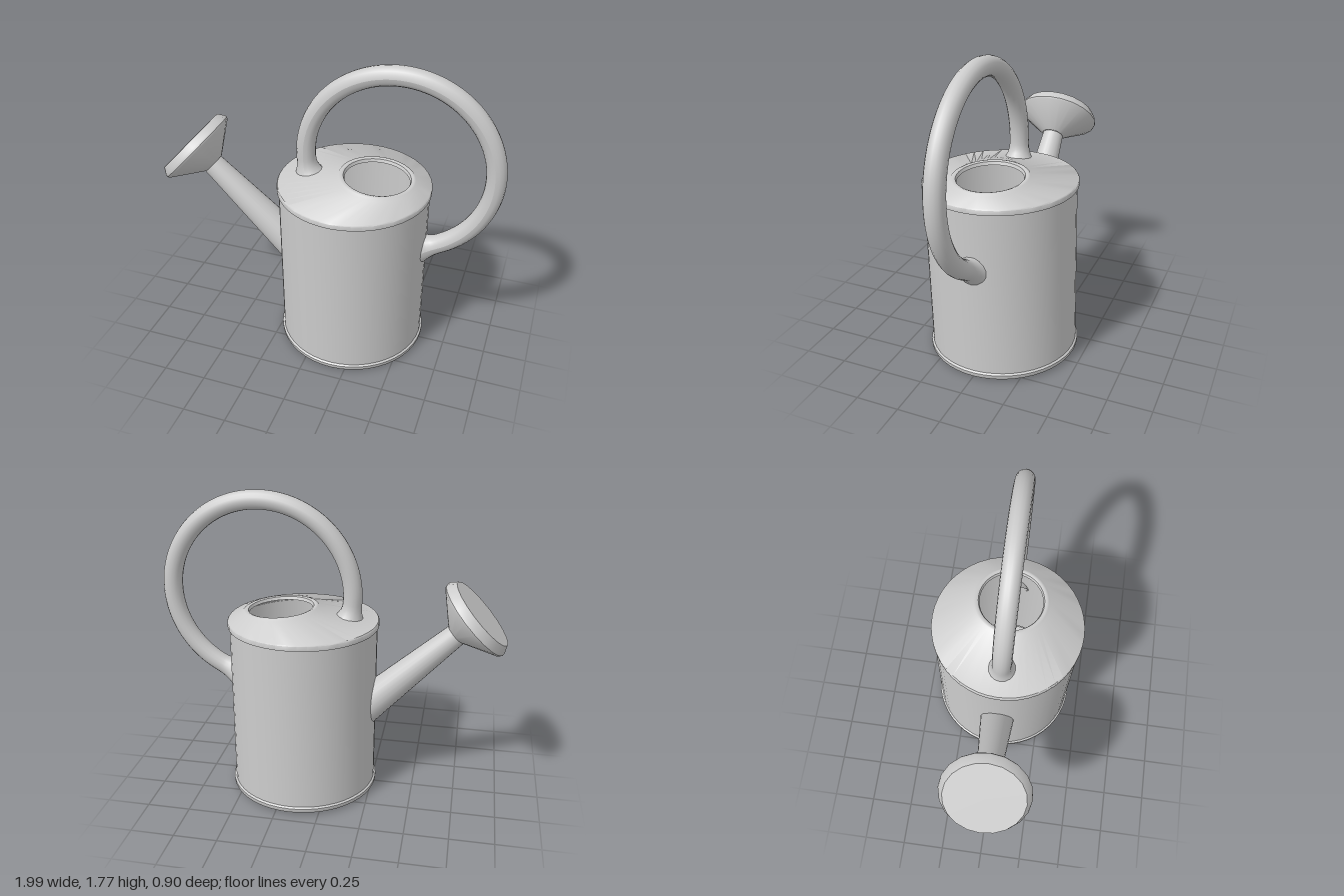
import * as THREE from 'three';
import { toCreasedNormals } from 'three/addons/utils/BufferGeometryUtils.js';

const grey = new THREE.MeshStandardMaterial({ color: 0xcccccc, side: THREE.DoubleSide });
const CX = 0.165; // axis of the can

function add(parent, name, geometry) {
  const mesh = new THREE.Mesh(geometry, grey);
  mesh.name = name;
  parent.add(mesh);
  return mesh;
}

function lathe(profile, segments, crease = 0.5) {
  const points = profile.map(([r, y]) => new THREE.Vector2(r, y));
  return toCreasedNormals(new THREE.LatheGeometry(points, segments), crease);
}

// Skin over circles [centre x, height, radius, slope along x], from bottom to top
function loft(rings, segments) {
  const positions = [], index = [];
  for (const [cx, y, r, slope] of rings) {
    for (let j = 0; j < segments; j++) {
      const a = (j / segments) * Math.PI * 2;
      const dx = r * Math.cos(a);
      positions.push(cx + dx, y - slope * dx, r * Math.sin(a));
    }
  }
  for (let i = 0; i < rings.length - 1; i++) {
    for (let j = 0; j < segments; j++) {
      const k = (j + 1) % segments;
      const a = i * segments + j, b = i * segments + k;
      const c = a + segments, d = b + segments;
      index.push(a, c, b, b, c, d);
    }
  }
  const geometry = new THREE.BufferGeometry();
  geometry.setAttribute('position', new THREE.Float32BufferAttribute(positions, 3));
  geometry.setIndex(index);
  return toCreasedNormals(geometry, 0.7);
}

// Point a mesh's y axis from one point towards another
function aim(mesh, from, to) {
  const direction = to.clone().sub(from).normalize();
  mesh.quaternion.setFromUnitVectors(new THREE.Vector3(0, 1, 0), direction);
}

// Round tube along an arc, flared where it joins the can
function handleGeometry() {
  const R = 0.53, start = Math.PI + 0.267, end = -1.264;
  const steps = 96, sides = 16, radius = 0.055;
  const curve = new THREE.Curve();
  curve.getPoint = (t, target = new THREE.Vector3()) => {
    const a = start + (end - start) * t;
    return target.set(0.41 + R * Math.cos(a), 1.18 + R * Math.sin(a), 0);
  };
  const geometry = new THREE.TubeGeometry(curve, steps, radius, sides);
  const position = geometry.attributes.position;
  const length = R * (start - end), v = new THREE.Vector3();
  for (let i = 0; i < position.count; i++) {
    const t = Math.floor(i / (sides + 1)) / steps;
    const d = Math.min(t, 1 - t) * length;
    const flare = 1 + 0.65 * Math.max(0, 1 - d / 0.1) ** 2;
    const centre = curve.getPointAt(t);
    v.fromBufferAttribute(position, i).sub(centre).multiplyScalar(flare).add(centre);
    position.setXYZ(i, v.x, v.y, v.z);
  }
  geometry.computeVertexNormals();
  return geometry;
}

export function createModel() {
  const model = new THREE.Group();
  model.name = 'wateringCan';

  // The whole can leans very slightly forwards
  const can = new THREE.Group();
  can.name = 'can';
  can.rotation.x = 0.02;
  can.position.set(0, 0.009, -0.008);
  model.add(can);

  // Cylindrical body with a raised rim around the base
  const body = add(can, 'body', lathe([
    [0, 0], [0.435, 0], [0.438, 0.006], [0.438, 0.024], [0.427, 0.032], [0.427, 1.005],
  ], 48));
  body.position.x = CX;

  // Sloping lid rising to an off-centre filling hole with a rolled lip
  add(can, 'lid', loft([
    [CX, 1.0, 0.425, 0], [CX, 1.005, 0.437, 0], [CX, 1.032, 0.437, 0], [CX, 1.038, 0.432, 0],
    [0.297, 1.082, 0.225, 0.06], [0.297, 1.094, 0.214, 0.065], [0.297, 1.098, 0.202, 0.065],
    [0.297, 1.093, 0.189, 0.065], [0.297, 1.075, 0.182, 0.065],
  ], 48));

  // Arched handle from the lid to the side of the body
  const handle = add(can, 'handle', handleGeometry());
  handle.rotation.y = 0.012;

  // Tapered spout
  const spoutBase = new THREE.Vector3(-0.17, 0.475, 0);
  const spoutTip = new THREE.Vector3(-0.715, 1.0, 0.01);
  const spoutLength = spoutBase.distanceTo(spoutTip);
  const spout = add(can, 'spout',
    new THREE.CylinderGeometry(0.064, 0.108, spoutLength, 24, 1, true));
  spout.position.copy(spoutBase).add(spoutTip).multiplyScalar(0.5);
  aim(spout, spoutBase, spoutTip);

  // Flared sprinkler head with a bevelled face
  const headBase = new THREE.Vector3(-0.705, 0.998, 0.01);
  const headFront = new THREE.Vector3(-0.845, 1.128, 0.012);
  const head = add(can, 'sprinklerHead', lathe([
    [0, 0], [0.066, 0], [0.244, 0.125], [0.25, 0.137], [0.247, 0.152], [0.222, 0.19], [0, 0.19],
  ], 20, 0.6));
  head.position.copy(headBase);
  aim(head, headBase, headFront);

  return model;
}
